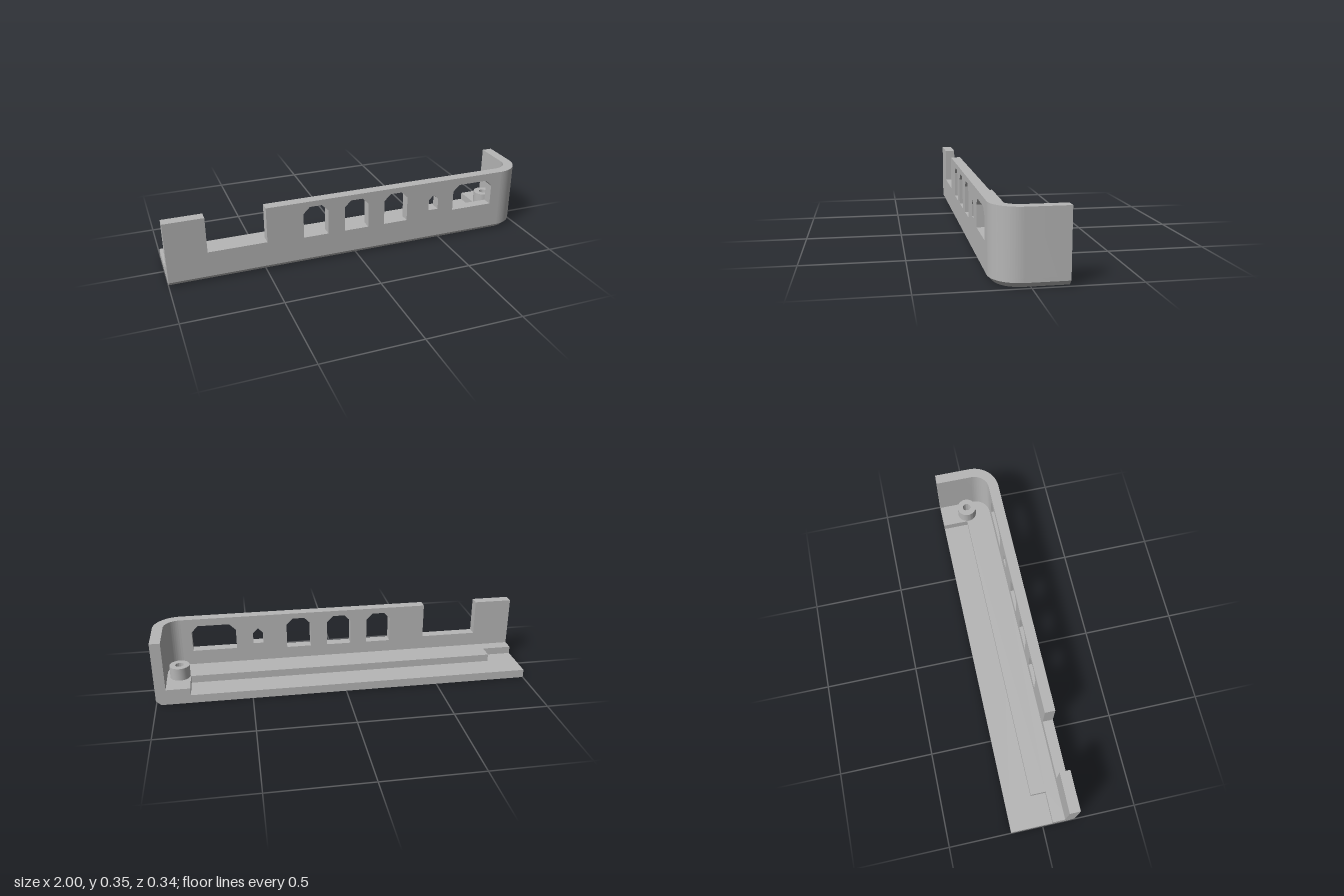
import * as THREE from 'three';
import { toCreasedNormals } from 'three/addons/utils/BufferGeometryUtils.js';

const CX = 0.86, CZ = 0.03, R = 0.14;          // rounded corner centre and radius
const WALL = 0.055, CHAMFER = 0.025;
const FLOOR = 0.045, LEDGE = 0.085, TOP = 0.35;

const points = (list) => list.map(([x, y]) => new THREE.Vector2(x, y));

export function createModel() {
  const group = new THREE.Group();
  const grey = new THREE.MeshStandardMaterial({ color: 0xb6b6b6 });

  const add = (name, geometry) => {
    const mesh = new THREE.Mesh(toCreasedNormals(geometry, 0.5), grey);
    mesh.name = name;
    group.add(mesh);
  };

  // Plan shapes are drawn with (x, -z) and extruded upward
  const slab = (shape, y0, y1) => new THREE.ExtrudeGeometry(shape, {
    depth: y1 - y0, bevelEnabled: false, curveSegments: 20,
  }).rotateX(-Math.PI / 2).translate(0, y0, 0);

  const footprint = () => {
    const s = new THREE.Shape();
    s.moveTo(-1, 0.17);
    s.lineTo(-1, -0.17);
    s.lineTo(CX, -0.17);
    s.absarc(CX, -CZ, R, -Math.PI / 2, 0, false);
    s.lineTo(1, 0.17);
    s.closePath();
    return s;
  };

  // Pull the outer edge inward below the chamfer height
  const chamfer = (geometry) => {
    const p = geometry.attributes.position;
    for (let i = 0; i < p.count; i++) {
      const dx = Math.max(p.getX(i) - CX, 0), dz = Math.max(p.getZ(i) - CZ, 0);
      const r = Math.hypot(dx, dz), inset = Math.max(CHAMFER - p.getY(i), 0);
      if (r < R - 0.001) continue;
      p.setX(i, p.getX(i) - dx / r * inset);
      p.setZ(i, p.getZ(i) - dz / r * inset);
    }
    geometry.computeVertexNormals();
    return geometry;
  };

  // Underside skin with engraved arrows and ring
  const depth = 0.012, markZ = 0.047;
  const skin = footprint();
  for (const side of [-1, 1]) {
    const x = side * 0.225;
    skin.holes.push(new THREE.Path(points([
      [x - side * 0.028, -markZ - 0.042],
      [x + side * 0.042, -markZ],
      [x - side * 0.028, -markZ + 0.042],
    ])));
  }
  skin.holes.push(new THREE.Path().absarc(0, -markZ, 0.05, 0, Math.PI * 2, true));
  add('underside', chamfer(slab(skin, 0, depth)));
  add('ringCentre', slab(new THREE.Shape().absarc(0, -markZ, 0.036, 0, Math.PI * 2, false), 0, depth));
  add('lowerFloor', chamfer(slab(footprint(), depth, CHAMFER)));
  add('floor', slab(footprint(), CHAMFER, FLOOR));

  // Raised ledge along the front and the corner
  const ledge = new THREE.Shape();
  ledge.moveTo(-1, -0.05);
  ledge.lineTo(-1, -0.14);
  ledge.lineTo(CX, -0.14);
  ledge.absarc(CX, -CZ, 0.11, -Math.PI / 2, 0, false);
  for (const [x, y] of [[0.97, 0.17], [0.82, 0.17], [0.82, 0.03], [-0.84, 0.03], [-0.84, -0.05]]) ledge.lineTo(x, y);
  add('ledge', slab(ledge, FLOOR, LEDGE));

  // Front wall with open notch and port openings
  const front = new THREE.Shape(points([
    [-1, FLOOR], [CX, FLOOR], [CX, TOP], [-0.49, TOP],
    [-0.49, 0.16], [-0.795, 0.16], [-0.795, TOP], [-1, TOP],
  ]));
  const port = (x0, x1, y0, y1, cut) => front.holes.push(new THREE.Path(points([
    [x0, y0], [x0, y1 - cut], [x0 + cut, y1], [x1 - cut, y1], [x1, y1 - cut], [x1, y0],
  ])));
  for (const x of [-0.228, -0.003, 0.222]) port(x - 0.067, x + 0.067, 0.15, 0.32, 0.035);
  port(0.419, 0.475, 0.187, 0.273, 0.026);
  port(0.567, 0.805, 0.165, 0.31, 0.035);
  add('frontWall', new THREE.ExtrudeGeometry(front, { depth: WALL, bevelEnabled: false })
    .translate(0, 0, 0.17 - WALL));

  // Rounded corner and side wall
  const side = new THREE.Shape();
  side.moveTo(CX, -0.17);
  side.absarc(CX, -CZ, R, -Math.PI / 2, 0, false);
  side.lineTo(1, 0.17);
  side.lineTo(1 - WALL, 0.17);
  side.lineTo(1 - WALL, -CZ);
  side.absarc(CX, -CZ, R - WALL, 0, -Math.PI / 2, true);
  side.closePath();
  add('sideWall', slab(side, FLOOR, TOP));

  // Hollow screw post
  const post = new THREE.Shape().absarc(0.875, 0.02, 0.053, 0, Math.PI * 2, false);
  post.holes.push(new THREE.Path().absarc(0.875, 0.02, 0.022, 0, Math.PI * 2, true));
  add('screwPost', slab(post, LEDGE, 0.152));

  return group;
}
